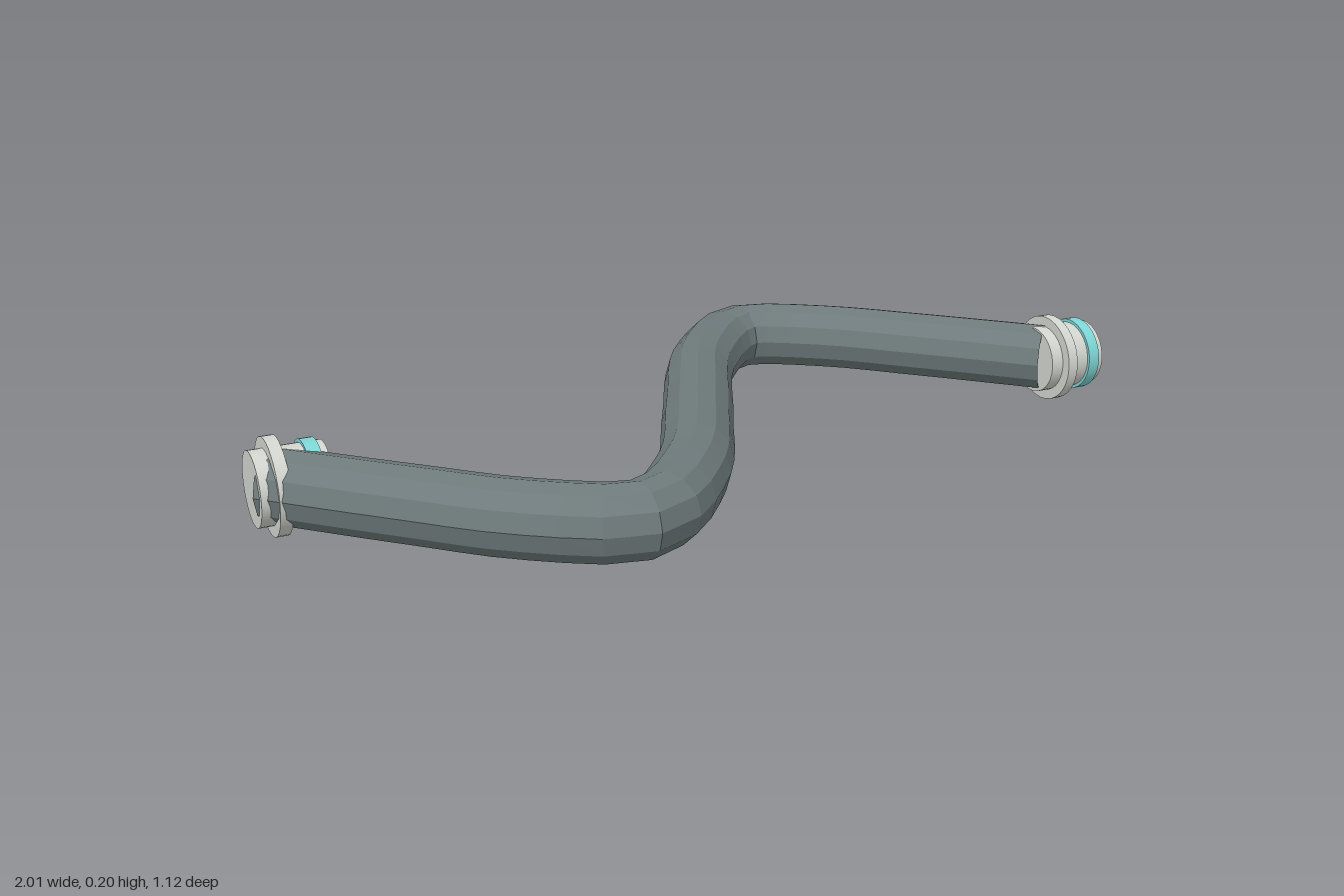
import * as THREE from 'three';

const AXIS_Y = 0.1; // height of the hose centre line

export function createModel() {
  const hoseGrey = new THREE.MeshStandardMaterial({ color: 0x6e7a7b, flatShading: true, side: THREE.DoubleSide });
  hoseGrey.name = 'hoseGrey';
  const paleMetal = new THREE.MeshStandardMaterial({ color: 0xd3d5cf });
  paleMetal.name = 'paleMetal';
  const sealTeal = new THREE.MeshStandardMaterial({ color: 0x7fd6d6 });
  sealTeal.name = 'sealTeal';

  const model = new THREE.Group();
  model.name = 'hoseAssembly';

  // S-shaped hose lying flat: half the path, mirrored through its midpoint
  const midX = -0.035;
  const half = [[-0.92, 0], [-0.71, 0.22], [-0.535, 0.39], [-0.355, 0.483], [-0.175, 0.32]];
  const path = [
    ...half,
    [0, 0],
    ...half.map(([x, z]) => [-x, -z]).reverse(),
  ].map(([x, z]) => new THREE.Vector3(midX + x, AXIS_Y + 0.002, z));
  const curve = new THREE.CatmullRomCurve3(path);
  const hose = new THREE.Mesh(new THREE.TubeGeometry(curve, 40, 0.077, 12, false), hoseGrey);
  hose.name = 'hose';
  model.add(hose);

  // Disc along x, from offset a to offset b
  const disc = (name, a, b, radius, material) => {
    const geometry = new THREE.CylinderGeometry(radius, radius, b - a, 32);
    geometry.rotateZ(-Math.PI / 2);
    geometry.translate((a + b) / 2, 0, 0);
    const mesh = new THREE.Mesh(geometry, material);
    mesh.name = name;
    return mesh;
  };

  // Identical coupling at each end, both pointing the same way
  for (const [name, x] of [['rightCoupling', -1], ['leftCoupling', 0.855]]) {
    const coupling = new THREE.Group();
    coupling.name = name;
    coupling.position.set(x, AXIS_Y, 0);
    coupling.add(
      disc('couplingBody', 0, 0.145, 0.077, paleMetal),
      disc('flange', 0.03, 0.055, 0.1, paleMetal),
      disc('sealRing', 0.102, 0.13, 0.084, sealTeal),
    );
    model.add(coupling);
  }

  return model;
}
